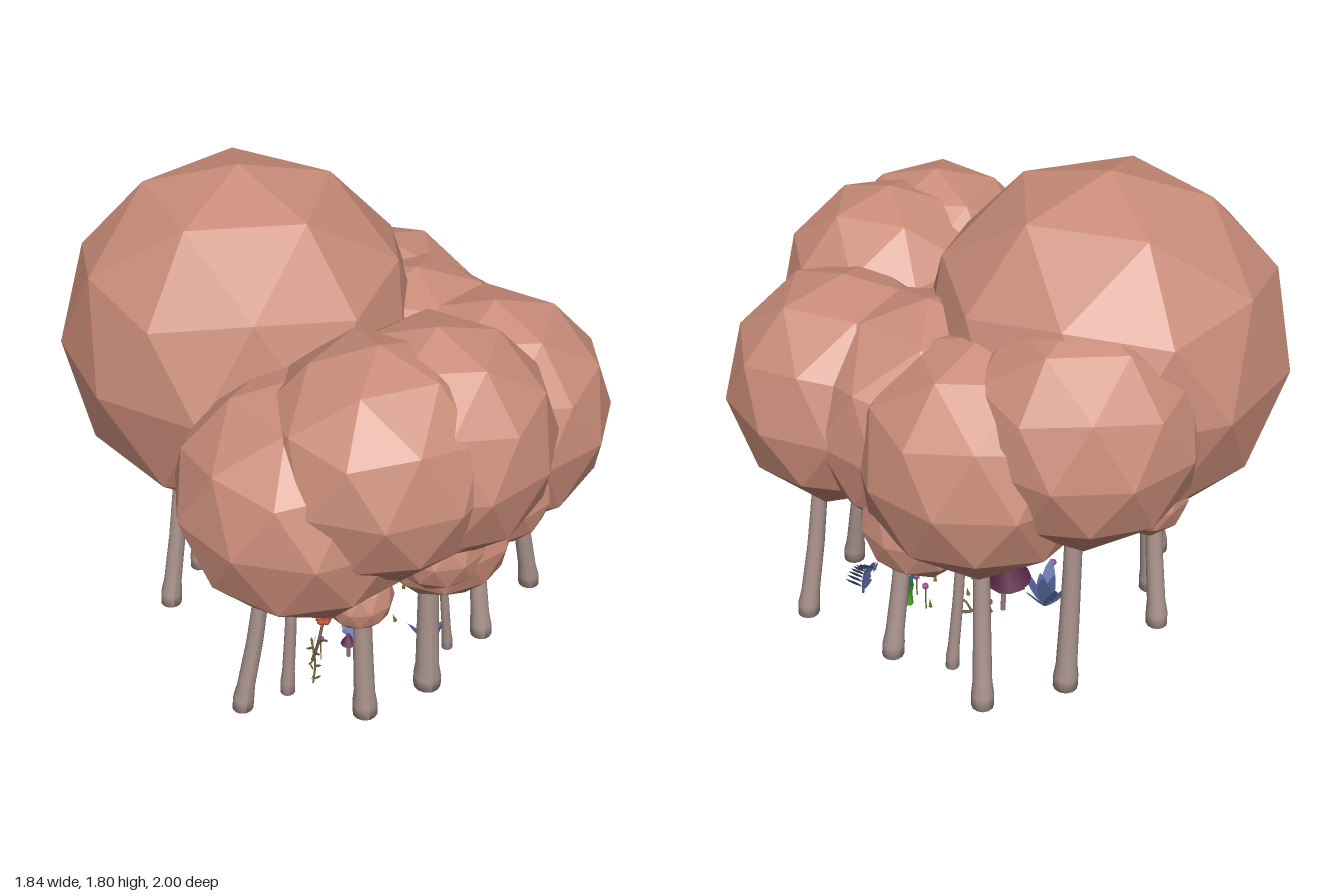
import * as THREE from 'three';

const V = (x, y, z) => new THREE.Vector3(x, y, z);
const mat = (color, flatShading = false) =>
  new THREE.MeshStandardMaterial({ color, flatShading, side: THREE.DoubleSide });
const MAT = {
  foliage: mat(0xc98c79, true), bark: mat(0xa8928c), twig: mat(0x6b5245), blue: mat(0x5668a0),
  purple: mat(0x5e2a4c), stem: mat(0x9a7480), green: mat(0x55b02c), teal: mat(0x1f8a78),
  red: mat(0xc04a30), olive: mat(0x75762f), pink: mat(0x9a4a8a),
};

function add(parent, name, geometry, material, x = 0, y = 0, z = 0) {
  const mesh = new THREE.Mesh(geometry, material);
  mesh.name = name;
  mesh.position.set(x, y, z);
  parent.add(mesh);
  return mesh;
}

const tube = (points, r, segments = 12, sides = 6) =>
  new THREE.TubeGeometry(new THREE.CatmullRomCurve3(points), segments, r, sides);

// Faceted crown ball with one corner pointing straight up
function crown(parent, x, y, z, r, turn) {
  const g = new THREE.IcosahedronGeometry(r, 1);
  g.rotateZ(Math.atan(2 / (1 + Math.sqrt(5))));
  g.rotateY(THREE.MathUtils.degToRad(turn));
  add(parent, 'crown', g, MAT.foliage, x, y, z);
}

// Trunk that leans towards the middle of its crown (cx, cz), thicker at the foot
function trunk(parent, cx, cz, x, z, r) {
  // height, thickness, share of the lean
  const rows = [[0, 1.15, 0], [0.05, 1.15, 0.02], [0.1, 0.98, 0.06], [0.3, 0.9, 0.22], [0.5, 0.83, 0.34], [0.65, 0.8, 0.4]];
  const profile = rows.map(([h, s]) => new THREE.Vector2(r * s, h));
  const g = new THREE.LatheGeometry([new THREE.Vector2(0, 0), ...profile], 12);
  const p = g.attributes.position;
  for (let i = 0; i < p.count; i++) {
    const lean = rows.find(([h]) => Math.abs(h - p.getY(i)) < 1e-4)[2];
    p.setX(i, p.getX(i) + (cx - x) * lean);
    p.setZ(i, p.getZ(i) + (cz - z) * lean);
  }
  g.computeVertexNormals();
  add(parent, 'trunk', g, MAT.bark, x, 0.01, z);
}

// Pointed flat leaf along +y
function leafGeometry(length, width) {
  const s = new THREE.Shape();
  s.moveTo(0, 0);
  s.quadraticCurveTo(width, length * 0.5, 0, length);
  s.quadraticCurveTo(-width, length * 0.5, 0, 0);
  return new THREE.ShapeGeometry(s, 5);
}

// Feathered frond: an arched rib with paired leaflets
function frond(parent, x, z, height, yaw, lean) {
  const g = new THREE.Group();
  g.name = 'frond';
  g.position.set(x, 0.03, z);
  g.rotation.y = yaw;
  const curve = new THREE.QuadraticBezierCurve3(V(0, 0, 0), V(0, height * 0.7, 0), V(lean, height, 0));
  add(g, 'rib', new THREE.TubeGeometry(curve, 8, 0.005, 5), MAT.blue);
  for (let i = 1; i <= 9; i++) {
    const at = curve.getPoint(i / 9.5);
    for (const side of [-1, 1]) {
      const leaf = add(g, 'leaflet', leafGeometry(0.075 * (1.15 - i / 12), 0.045), MAT.blue, at.x, at.y, at.z);
      leaf.rotation.set(side * 0.7, side * 0.5, side * 0.6 - 0.2);
    }
  }
  parent.add(g);
}

// Rosette of broad leaves spreading from the ground
function rosette(parent, x, z, size, count) {
  const g = new THREE.Group();
  g.name = 'broadLeafPlant';
  g.position.set(x, 0.02, z);
  for (let i = 0; i < count; i++) {
    const holder = new THREE.Group();
    holder.rotation.y = (i / count) * Math.PI * 2;
    const leaf = add(holder, 'leaf', leafGeometry(size * (0.75 + 0.25 * (i % 2)), size * 0.3), MAT.blue);
    leaf.rotation.x = 0.3 + 0.2 * (i % 3);
    g.add(holder);
  }
  parent.add(g);
}

// Bare twig growing from a trunk, tipped with a red blossom
function blossomTwig(parent, from, tip) {
  const mid = from.clone().lerp(tip, 0.5).add(V(0, -0.02, 0));
  add(parent, 'twig', tube([from, mid, tip], 0.006), MAT.twig);
  add(parent, 'sideTwig', tube([mid, mid.clone().add(V(0.01, 0.03, 0.02)), mid.clone().add(V(0.02, 0.04, 0.04))], 0.004), MAT.twig);
  for (let i = 0; i < 5; i++) {
    const a = (i / 5) * Math.PI * 2;
    const petal = add(parent, 'petal', new THREE.SphereGeometry(0.016, 7, 5), MAT.red,
      tip.x + 0.016 * Math.cos(a), tip.y, tip.z + 0.016 * Math.sin(a));
    petal.scale.y = 0.7;
  }
}

// Berry on a thin stalk
function berry(parent, x, z, h) {
  add(parent, 'berryStalk', new THREE.CylinderGeometry(0.003, 0.003, h - 0.02, 5), MAT.olive, x, h / 2 + 0.01, z);
  add(parent, 'berry', new THREE.SphereGeometry(0.013, 8, 6), MAT.pink, x, h, z);
}

export function createModel() {
  const model = new THREE.Group();
  model.name = 'grove';
  const group = (name) => {
    const g = new THREE.Group();
    g.name = name;
    model.add(g);
    return g;
  };

  // Foliage: x, y, z, radius, turn in degrees
  const foliage = group('foliage');
  [
    [-0.275, 1.145, -0.26, 0.668, 41], [0.03, 1.08, -0.57, 0.435, -10], [0.29, 0.94, -0.36, 0.45, -16],
    [0.49, 0.95, 0.25, 0.448, 37], [0.32, 0.95, -0.06, 0.45, 18], [-0.30, 0.93, 0.47, 0.455, -14],
    [-0.08, 1.10, 0.59, 0.43, 54], [0.14, 1.10, 0.55, 0.43, 39], [0.18, 0.715, 0.55, 0.265, 0],
    [0.1, 0.77, 0.7, 0.17, 10], [-0.165, 0.57, 0.65, 0.125, 0], [0.38, 0.82, 0.54, 0.215, 5],
    [0.49, 0.68, -0.28, 0.22, 8], [-0.2, 0.76, -0.65, 0.16, 0], [0.08, 0.59, -0.26, 0.11, 0],
  ].forEach((b) => crown(foliage, ...b));

  // Trunks: point leaned towards x, z, then each foot x, z, radius
  const trunks = group('trunks');
  [
    [0.49, 0.25, [[0.74, 0.2, 0.036]]],
    [0.41, 0.15, [[0.435, 0.41, 0.036]]],
    [0.32, -0.06, [[0.575, -0.18, 0.036]]],
    [0.30, -0.37, [[0.42, -0.355, 0.022], [0.43, -0.59, 0.036]]],
    [0.02, -0.58, [[0.12, -0.66, 0.04]]],
    [0.13, 0.54, [[0.13, 0.6, 0.045], [0.28, 0.44, 0.018]]],
    [-0.15, 0.56, [[-0.14, 0.66, 0.04]]],
    [-0.30, 0.47, [[-0.37, 0.46, 0.024], [-0.55, 0.48, 0.034]]],
    [-0.42, -0.3, [[-0.64, -0.18, 0.036], [-0.37, -0.55, 0.036], [-0.47, -0.36, 0.034]]],
  ].forEach(([cx, cz, feet]) => feet.forEach((foot) => trunk(trunks, cx, cz, ...foot)));

  const plants = group('undergrowth');

  // Bell-capped mushroom
  add(plants, 'mushroomStem', tube([V(0.1, 0.02, -0.19), V(0.09, 0.1, -0.18), V(0.075, 0.25, -0.17)], 0.011), MAT.stem);
  const bell = [[0.004, 0.17], [0.02, 0.13], [0.045, 0.07], [0.075, 0.01], [0.085, -0.01]];
  const cap = add(plants, 'mushroomCap', new THREE.LatheGeometry(bell.map(([r, y]) => new THREE.Vector2(r, y)), 12),
    MAT.purple, 0.06, 0.15, -0.17);
  cap.rotation.z = -0.15;
  add(plants, 'smallMushroomStem', new THREE.CylinderGeometry(0.006, 0.008, 0.08, 6), MAT.stem, -0.1, 0.07, 0.38);
  add(plants, 'smallMushroomCap', new THREE.ConeGeometry(0.03, 0.05, 10, 1, true), MAT.purple, -0.1, 0.12, 0.38);

  // Blue plants
  frond(plants, 0.52, 0.17, 0.2, Math.PI / 2, 0.12);
  frond(plants, -0.07, 0.4, 0.12, 2.5, 0.06);
  rosette(plants, -0.05, -0.26, 0.19, 8);
  rosette(plants, 0.22, 0.4, 0.13, 7);

  // Curling vine, green below and teal above
  add(plants, 'vineFoot', tube([V(0.39, 0.02, 0.03), V(0.395, 0.08, 0.025), V(0.4, 0.14, 0)], 0.015), MAT.green);
  add(plants, 'vineCurl', tube([V(0.4, 0.13, 0), V(0.4, 0.2, -0.015), V(0.4, 0.26, 0), V(0.4, 0.285, 0.035),
    V(0.4, 0.26, 0.065), V(0.4, 0.235, 0.045), V(0.4, 0.25, 0.025)], 0.008, 20), MAT.teal);

  // Creeper with paired leaves
  add(plants, 'creeperStem', tube([V(-0.27, 0.02, 0.46), V(-0.265, 0.12, 0.47), V(-0.275, 0.24, 0.46)], 0.004), MAT.olive);
  for (let i = 0; i < 9; i++) {
    const leaf = add(plants, 'creeperLeaf', leafGeometry(0.032, 0.018), MAT.olive, -0.27, 0.04 + i * 0.022, 0.465);
    leaf.rotation.set(0.3, i * 0.9, i % 2 ? 1.1 : -1.1);
  }

  // Blossoming twigs
  blossomTwig(plants, V(-0.31, 0.24, 0.57), V(-0.21, 0.27, 0.41));
  blossomTwig(plants, V(0.38, 0.24, -0.34), V(0.29, 0.27, -0.37));

  // Berries and sprouts
  [[-0.2, 0.35, 0.12], [0.35, -0.03, 0.13], [-0.19, -0.1, 0.07], [0.34, 0.06, 0.11]].forEach((b) => berry(plants, ...b));
  for (let i = 0; i < 14; i++) {
    const a = i * 2.4, r = 0.05 + 0.018 * i;
    const sprout = add(plants, 'sprout', new THREE.ConeGeometry(0.008, 0.04, 5), i % 3 ? MAT.olive : MAT.green,
      0.06 + r * Math.cos(a), 0.05, 0.02 + r * Math.sin(a));
    sprout.rotation.z = 0.3 * Math.sin(a);
  }
  return model;
}
